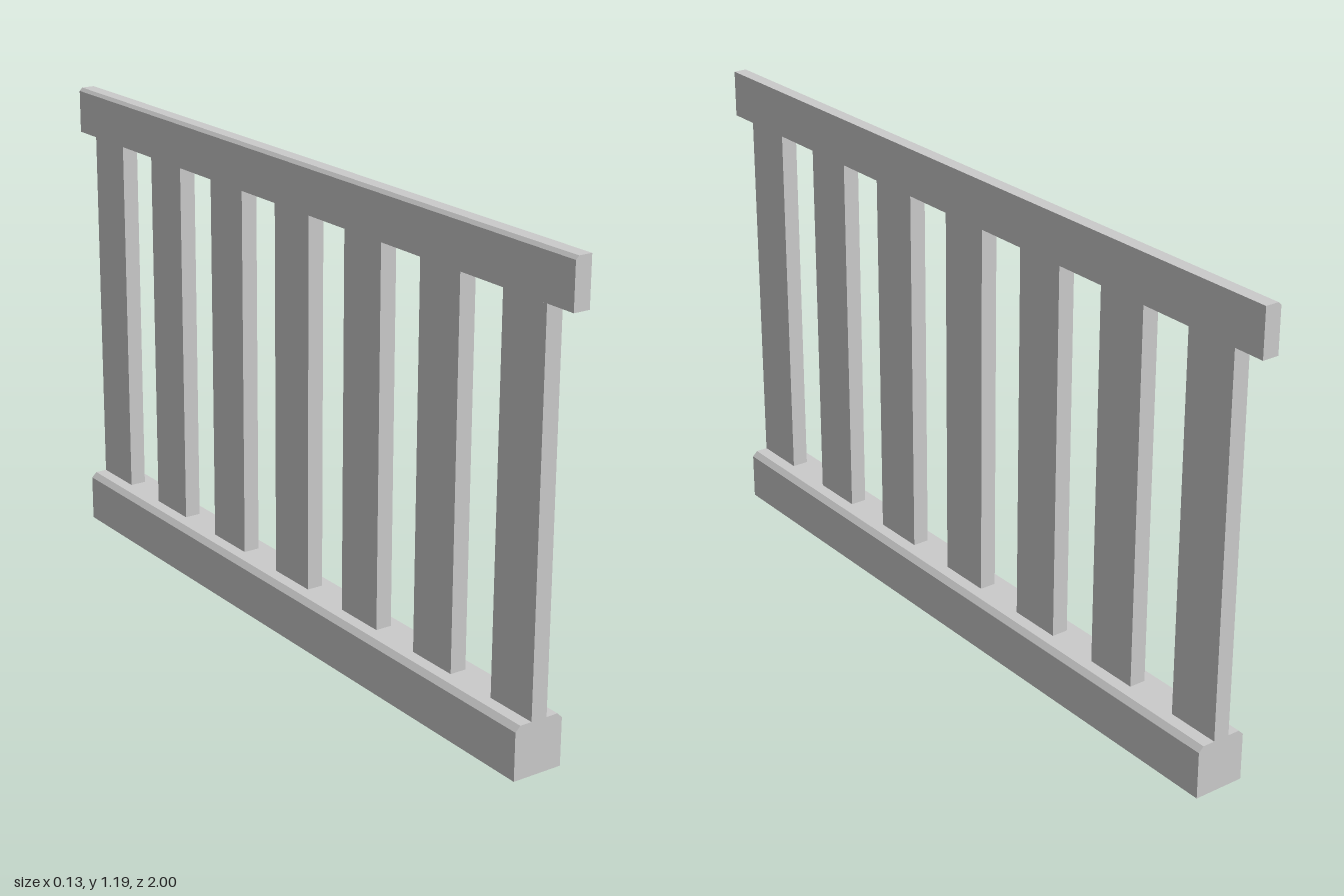
import * as THREE from 'three';

const T = 0.021;           // half thickness of slats and rail
const BASE_TOP = 0.131;
const RAIL_BOTTOM = 1.07;
const RAIL_TOP = 1.188;

const material = new THREE.MeshStandardMaterial({ color: 0xcccccc, flatShading: true });

// Runs an x-y cross-section along z, centred on z = 0
function bar(name, points, length) {
  const shape = new THREE.Shape(points.map(([x, y]) => new THREE.Vector2(x, y)));
  const geometry = new THREE.ExtrudeGeometry(shape, { depth: length, bevelEnabled: false });
  geometry.translate(0, 0, -length / 2);
  const mesh = new THREE.Mesh(geometry, material);
  mesh.name = name;
  return mesh;
}

export function createModel() {
  const group = new THREE.Group();
  group.name = 'railing';

  // Base beam, both upper edges chamfered
  const w = 0.065, c = 0.013;
  group.add(bar('baseBeam', [
    [-w, 0], [w, 0], [w, BASE_TOP - c], [w - c, BASE_TOP], [c - w, BASE_TOP], [-w, BASE_TOP - c],
  ], 1.836));

  // Top rail, chamfered along one upper edge only
  const r = 0.008;
  group.add(bar('topRail', [
    [-T, RAIL_BOTTOM], [T, RAIL_BOTTOM], [T, RAIL_TOP], [r - T, RAIL_TOP], [-T, RAIL_TOP - r],
  ], 2));

  // Seven evenly spaced upright slats
  const height = RAIL_BOTTOM - BASE_TOP;
  const slatGeometry = new THREE.BoxGeometry(2 * T, height, 0.14);
  for (let i = -3; i <= 3; i++) {
    const slat = new THREE.Mesh(slatGeometry, material);
    slat.name = `slat${i + 4}`;
    slat.position.set(0, BASE_TOP + height / 2, i * 0.2827);
    group.add(slat);
  }
  return group;
}
